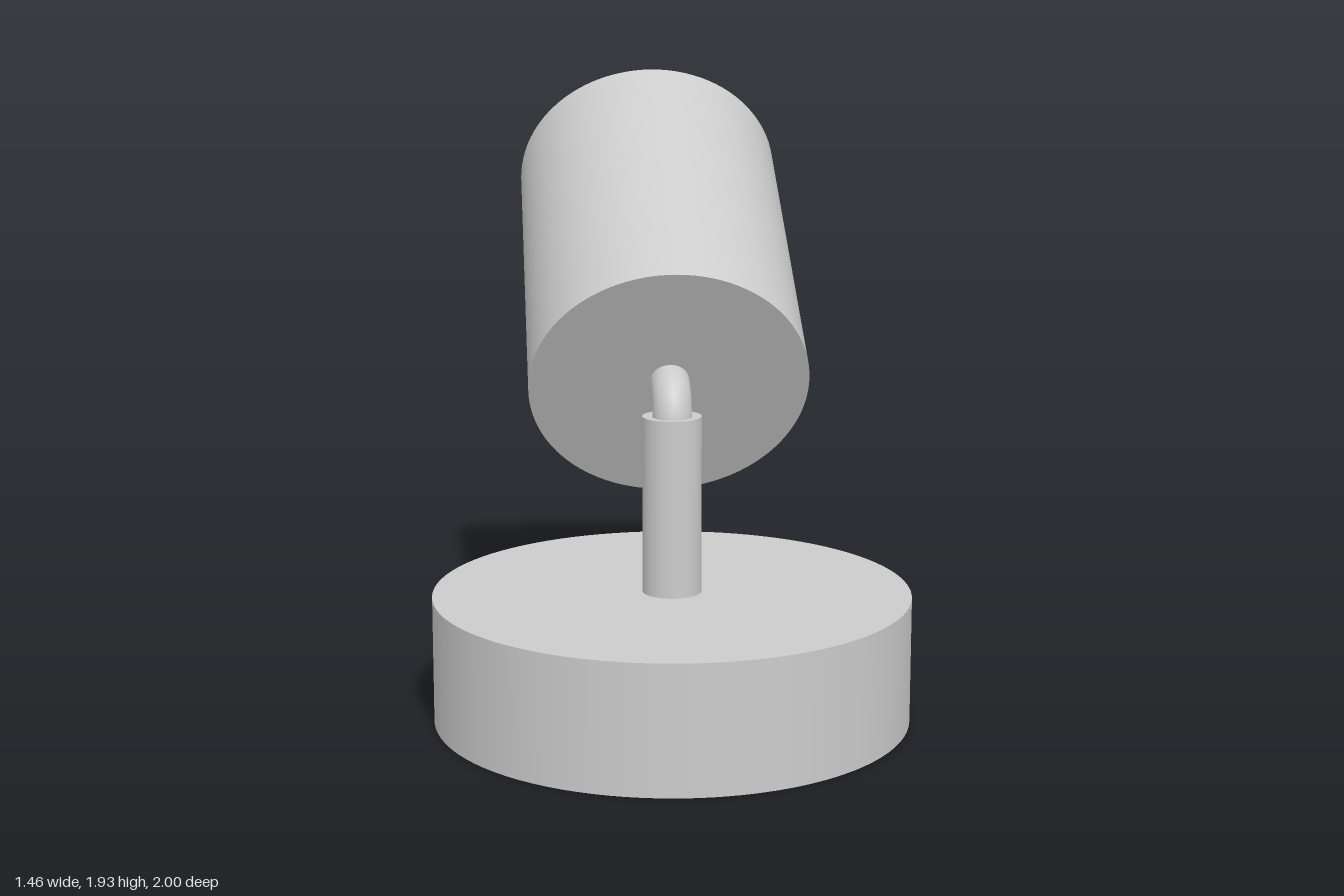
import * as THREE from 'three';
import { toCreasedNormals } from 'three/addons/utils/BufferGeometryUtils.js';

export function createModel() {
  const model = new THREE.Group();
  model.name = 'spotlight';
  const material = new THREE.MeshStandardMaterial({ color: 0xcccccc });

  const add = (name, geometry, x, y, z) => {
    const mesh = new THREE.Mesh(geometry, material);
    mesh.name = name;
    mesh.position.set(x, y, z);
    model.add(mesh);
    return mesh;
  };

  const axisZ = 0.27;

  // Round base and upright post
  add('base', new THREE.CylinderGeometry(0.73, 0.73, 0.39, 96), 0, 0.195, axisZ);
  add('post', new THREE.CylinderGeometry(0.09, 0.09, 0.545, 48), 0, 0.6625, axisZ);

  // Bent pipe from the post into the closed end of the head
  const bend = new THREE.CatmullRomCurve3([
    [0.85, 0.28], [0.935, 0.28], [0.994, 0.25], [1.02, 0.2], [1.03, 0.12],
  ].map(([y, z]) => new THREE.Vector3(0, y, z)));
  add('elbow', new THREE.TubeGeometry(bend, 32, 0.06, 24), 0, 0, 0);

  // Hollow cup-shaped head, open at the far end, raised 30 degrees
  const radius = 0.43, inner = 0.365, length = 1.098, floor = 0.12;
  const profile = [
    [0, 0], [radius, 0], [radius, length], [inner, length], [inner, floor], [0, floor],
  ].map(([r, y]) => new THREE.Vector2(r, y));
  const shell = toCreasedNormals(new THREE.LatheGeometry(profile, 96), Math.PI / 6);
  add('head', shell, 0, 1.007, 0.165).rotation.x = -Math.PI / 3;

  return model;
}
